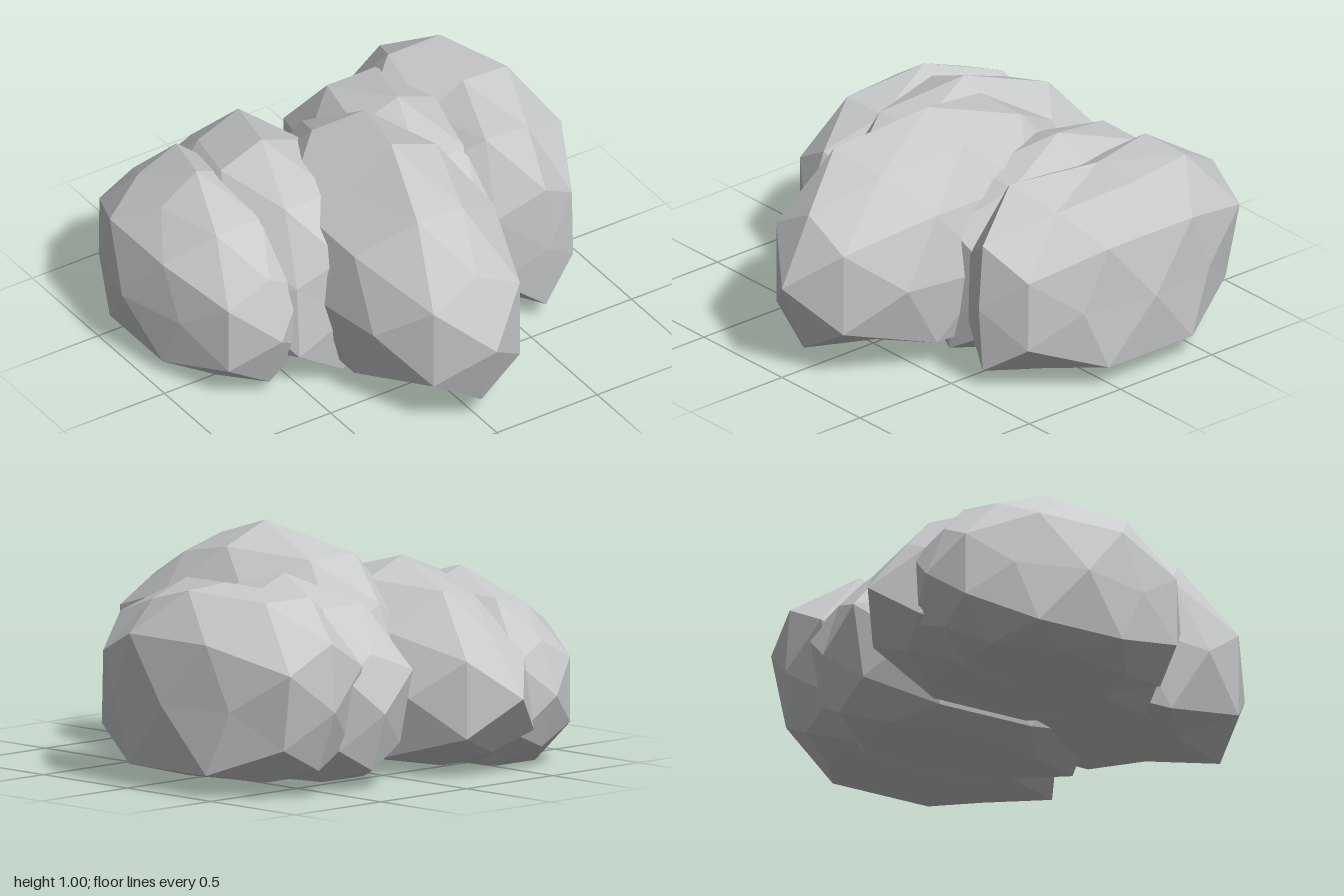
import * as THREE from 'three';

const stone = new THREE.MeshStandardMaterial({ color: 0xc9cacc });
stone.name = 'grey stone';

// A corner pushed in towards the boulder's centre; "mirror" repeats it across that axis.
function dent(scale, x, y, z, mirror) {
  const at = new THREE.Vector3(x, y, z).normalize();
  return (p) => {
    const q = p.clone();
    if (mirror) q[mirror] = Math.abs(q[mirror]);
    return q.dot(at) > 0.98 ? scale : 1;
  };
}

// A faceted ellipsoid with pushed-in corners and a flat underside.
function boulder(name, centre, radii, floor, dents) {
  const geo = new THREE.IcosahedronGeometry(1, 1);
  const pos = geo.attributes.position;
  const p = new THREE.Vector3();
  for (let i = 0; i < pos.count; i++) {
    p.fromBufferAttribute(pos, i);
    p.multiplyScalar(dents.reduce((s, d) => Math.min(s, d(p)), 1));
    p.multiply(radii).add(centre);
    p.y = Math.max(p.y, floor);
    pos.setXYZ(i, p.x, p.y, p.z);
  }
  geo.computeVertexNormals(); // unshared corners keep the facets flat
  const mesh = new THREE.Mesh(geo, stone);
  mesh.name = name;
  return mesh;
}

export function createModel() {
  const group = new THREE.Group();
  group.name = 'boulderCluster';
  const v = (x, y, z) => new THREE.Vector3(x, y, z);

  // front boulder, with a large flat facet on its upper right side
  group.add(boulder('frontBoulder', v(0, 0.41, 0.2), v(0.43, 0.59, 0.8), 0.1, [
    dent(0.85, -0.53, 0.85, 0),
    dent(0.9, 0.31, 0.81, 0.5),
    dent(0.96, 0, 0.53, 0.85),
  ]));

  // the two boulders on the right
  group.add(boulder('outerRightBoulder', v(-0.63, 0.31, -0.32), v(0.37, 0.49, 0.65), 0, [
    dent(0.88, 0, 0, -1),
    dent(0.87, 0, 0.53, -0.85, 'y'),
    dent(0.9, -0.53, 0.85, 0),
    dent(0.88, -0.31, 0.81, -0.5),
    dent(0.9, -0.85, 0, 0.53, 'z'),
    dent(0.91, -0.5, 0.31, -0.81, 'y'),
  ]));
  group.add(boulder('innerRightBoulder', v(-0.33, 0.34, -0.28), v(0.39, 0.53, 0.72), 0.035, [
    dent(0.87, 0, 0.53, -0.85, 'y'),
    dent(0.89, -0.31, 0.81, -0.5),
    dent(0.93, -0.5, 0.31, 0.81, 'z'),
    dent(0.9, 0, 0, 1),
  ]));

  // the two boulders on the left
  group.add(boulder('innerLeftBoulder', v(0.32, 0.33, -0.24), v(0.39, 0.53, 0.7), 0.03, [
    dent(0.86, 0, 0, 1, 'z'),
    dent(0.88, 0, 0.53, -0.85, 'y'),
    dent(0.9, 0.5, -0.31, -0.81, 'x'),
  ]));
  group.add(boulder('outerLeftBoulder', v(0.62, 0.37, -0.2), v(0.42, 0.55, 0.74), 0.06, [
    dent(0.87, 0, 1, 0),
    dent(0.88, 0, 0, 1, 'z'),
    dent(0.9, 1, 0, 0, 'x'),
    // corners either side of the upright front ridge
    dent(0.9, 0.5, 0.31, 0.81, 'x'),
    dent(0.91, 0.5, -0.31, 0.81, 'x'),
    // upper shoulders
    dent(0.82, -0.53, 0.85, 0),
    dent(0.87, 0.31, 0.81, 0.5),
    // waist and rear
    dent(0.88, 0.85, 0, 0.53, 'z'),
    dent(0.9, 0.5, -0.31, -0.81, 'x'),
    dent(0.88, 0, -0.53, -0.85),
  ]));
  return group;
}
